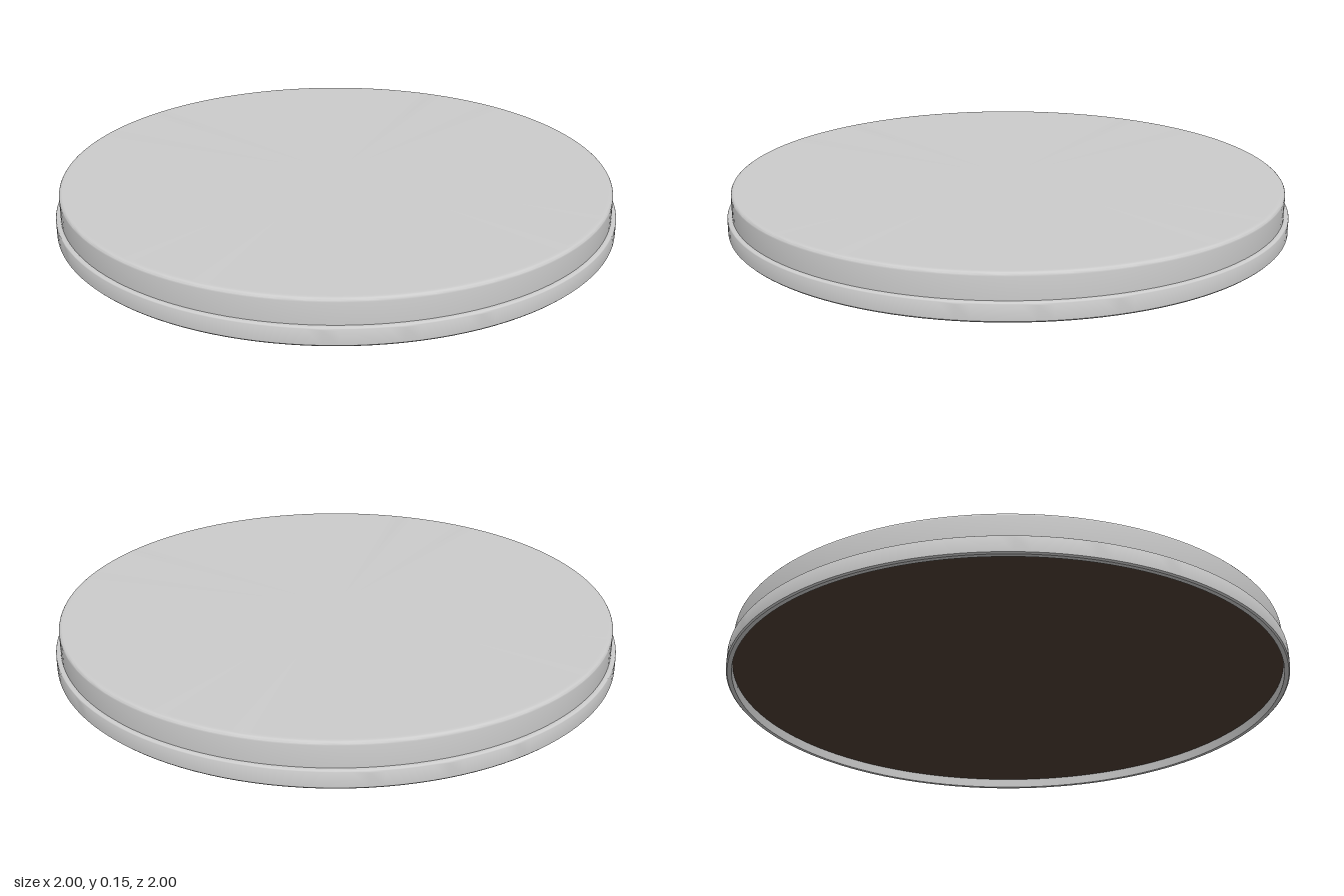
import * as THREE from 'three';
import { toCreasedNormals } from 'three/addons/utils/BufferGeometryUtils.js';

const SEGMENTS = 128;

// Quarter-round outer edge: from the wall up and in to the flat above it.
function roundedEdge(radius, top, r, steps = 4) {
  return Array.from({ length: steps + 1 }, (_, i) => {
    const a = (i / steps) * Math.PI / 2;
    return new THREE.Vector2(radius - r + r * Math.cos(a), top - r + r * Math.sin(a));
  });
}

export function createModel() {
  const group = new THREE.Group();
  group.name = 'roundBase';

  // Stepped disc: hollow foot rim, wider lower band, narrower upper band, flat top
  const p = (x, y) => new THREE.Vector2(x, y);
  const profile = [
    p(0.98, 0.05), p(0.98, 0), p(0.995, 0), p(1, 0.005),
    ...roundedEdge(1, 0.063, 0.008),
    p(0.983, 0.063),
    ...roundedEdge(0.983, 0.15, 0.012),
    p(0.96, 0.15), p(0, 0.15),
  ];
  const body = new THREE.Mesh(
    toCreasedNormals(new THREE.LatheGeometry(profile, SEGMENTS), Math.PI / 5),
    new THREE.MeshStandardMaterial({ color: 0xcccccc }),
  );
  body.name = 'body';
  group.add(body);

  // Felt pad recessed inside the foot rim
  const pad = new THREE.Mesh(
    new THREE.CylinderGeometry(0.98, 0.98, 0.015, SEGMENTS),
    new THREE.MeshStandardMaterial({ color: 0x4d3d33 }),
  );
  pad.name = 'bottomPad';
  pad.position.y = 0.0425;
  group.add(pad);

  return group;
}
